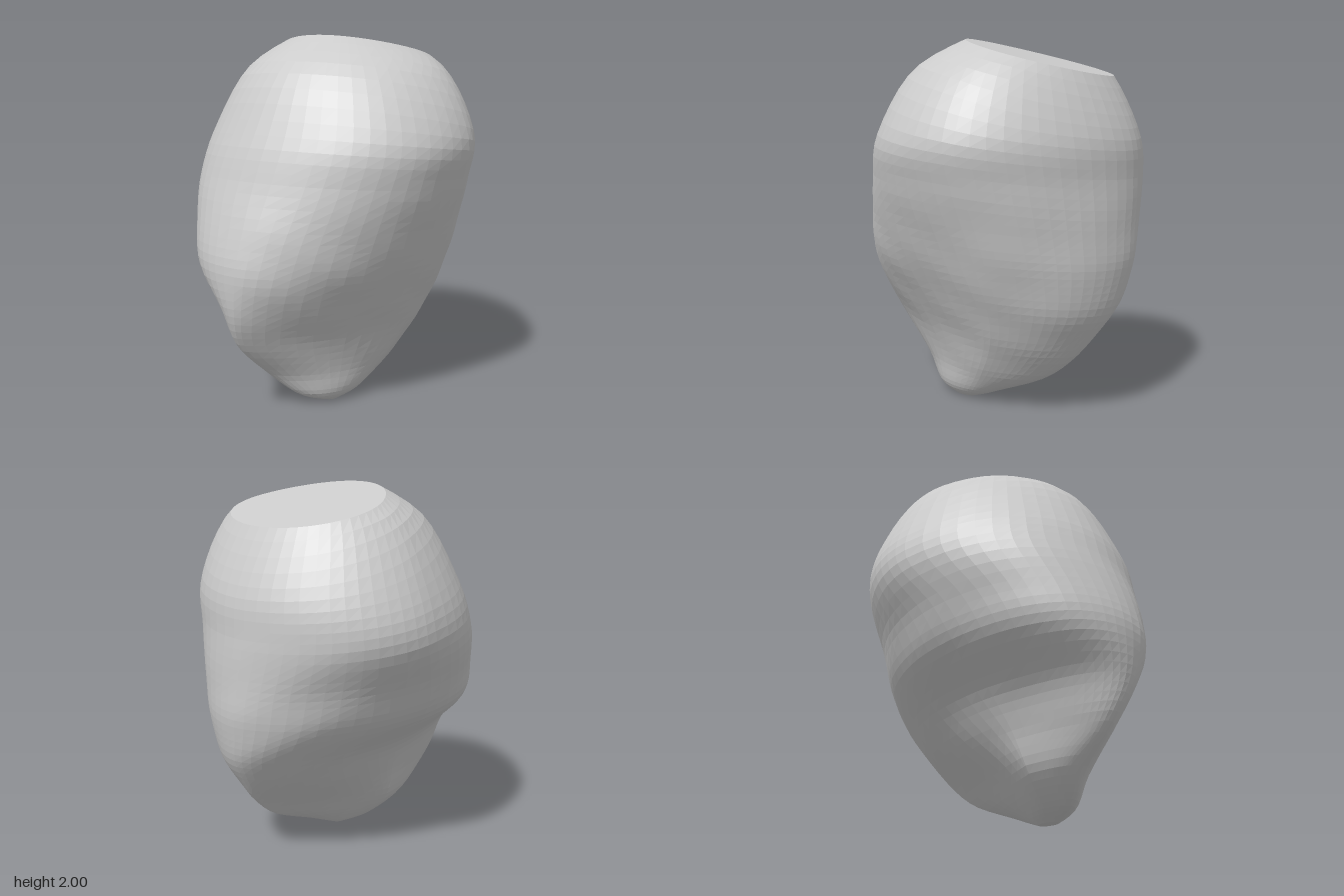
import * as THREE from 'three';

// Horizontal outlines from the tip upward. Each holds the four extreme points
// and, per quadrant, an exponent: 1 = elliptic, 2 = straight, above 2 = hollow.
// y, left x,z, right x,z, front x,z, back x,z, exponents FR, RB, BL, LF
const OUTLINES = [
  [0.0, 0.05, 0.16, 0.12, 0.13, 0.08, 0.21, 0.09, 0.08, 1, 1, 1, 1],
  [0.06, -0.07, 0.2, 0.2, 0.06, 0, 0.35, 0.13, -0.07, 1.1, 1.05, 1.5, 0.9],
  [0.2, -0.21, 0.2, 0.29, -0.04, -0.1, 0.48, 0.15, -0.4, 1.3, 1.1, 1.9, 0.8],
  [0.4, -0.28, 0.15, 0.4, -0.14, -0.16, 0.67, 0.12, -0.6, 1.4, 1.08, 1.35, 0.9],
  [0.6, -0.38, 0.08, 0.495, -0.17, -0.13, 0.77, 0.08, -0.73, 1.3, 1.05, 1.1, 0.9],
  [0.8, -0.59, 0.08, 0.58, -0.15, -0.1, 0.8, 0.03, -0.785, 1.17, 1.08, 1.08, 0.88],
  [1.0, -0.68, 0, 0.65, -0.12, -0.08, 0.77, 0, -0.795, 1.08, 1.1, 1.05, 0.9],
  [1.25, -0.77, -0.18, 0.73, -0.08, -0.06, 0.69, -0.05, -0.79, 0.97, 1.12, 1, 0.92],
  [1.5, -0.72, -0.2, 0.765, -0.06, -0.02, 0.61, -0.06, -0.765, 0.95, 1.12, 1, 0.95],
  [1.83, -0.54, -0.18, 0.575, -0.1, 0, 0.43, -0.08, -0.6, 1, 1.05, 1, 1],
  [2.02, -0.24, -0.15, 0.22, -0.15, 0, 0.11, -0.05, -0.4, 1, 1, 1, 1],
];
const RINGS = 44;
const SIDES = 56;

// Smoothly interpolated outline, t from 0 to 1
function outlineAt(t) {
  const f = t * (OUTLINES.length - 1);
  const i = Math.min(Math.floor(f), OUTLINES.length - 2);
  const u = f - i;
  const row = (k) => OUTLINES[THREE.MathUtils.clamp(k, 0, OUTLINES.length - 1)];
  return row(i).map((b, k) => {
    const a = row(i - 1)[k], c = row(i + 1)[k], d = row(i + 2)[k];
    return b + 0.5 * u * (c - a + u * (2 * a - 5 * b + 4 * c - d + u * (3 * (b - c) + d - a)));
  });
}

// Point at height parameter t and s from 0 to 4: front, right, back, left
function pointAt(t, s) {
  const o = outlineAt(t);
  const [y, lx, lz, rx, rz, fx, fz, bx, bz] = o;
  const q = Math.floor(s);
  const angle = (s - q) * Math.PI / 2;
  const p = o[9 + q];
  const c = Math.cos(angle) ** p, n = Math.sin(angle) ** p;
  let x, z;
  if (q === 0) { x = fx + (rx - fx) * n; z = rz + (fz - rz) * c; }
  else if (q === 1) { x = bx + (rx - bx) * c; z = rz + (bz - rz) * n; }
  else if (q === 2) { x = bx + (lx - bx) * n; z = lz + (bz - lz) * c; }
  else { x = fx + (lx - fx) * c; z = lz + (fz - lz) * n; }
  // Faint unevenness, strongest on the lower half
  const bump = 1 + 0.008 * Math.max(0, 1.4 - y) * Math.sin(9 * x + 13 * y) * Math.cos(11 * z - 7 * y);
  return [x * bump, y, z * bump];
}

// Plane that slices the top, sloping down to the back
const sliceHeight = (z) => 1.962 + 0.267 * z;

// Height parameter where a column of the skin meets the slice
function sliceParameter(s) {
  let low = 0.8, high = 1;
  for (let i = 0; i < 20; i++) {
    const mid = (low + high) / 2;
    const [, y, z] = pointAt(mid, s);
    if (y < sliceHeight(z)) low = mid;
    else high = mid;
  }
  return low;
}

export function createModel() {
  const positions = [];
  const index = [];
  const columns = Array.from({ length: SIDES }, (_, j) => (j / SIDES) * 4);
  const ends = columns.map(sliceParameter);

  // Skin, each column running from the tip to the slice
  for (let r = 0; r <= RINGS; r++) {
    columns.forEach((s, j) => positions.push(...pointAt((r / RINGS) * ends[j], s)));
  }
  for (let r = 0; r < RINGS; r++) {
    for (let j = 0; j < SIDES; j++) {
      const k = (j + 1) % SIDES;
      const a = r * SIDES + j, b = r * SIDES + k;
      index.push(a, b, b + SIDES, a, b + SIDES, a + SIDES);
    }
  }

  // Tip and sliced top closed with fans
  const tip = positions.length / 3;
  positions.push(0.09, 0, 0.15, 0, sliceHeight(-0.15), -0.15);
  for (let j = 0; j < SIDES; j++) {
    const k = (j + 1) % SIDES;
    index.push(tip, k, j, tip + 1, RINGS * SIDES + j, RINGS * SIDES + k);
  }

  const geometry = new THREE.BufferGeometry();
  geometry.setAttribute('position', new THREE.Float32BufferAttribute(positions, 3));
  geometry.setIndex(index);
  geometry.computeVertexNormals();

  const rock = new THREE.Mesh(
    geometry,
    new THREE.MeshStandardMaterial({ color: 0xcccccc, flatShading: true })
  );
  rock.name = 'rock';
  const group = new THREE.Group();
  group.name = 'boulder';
  group.add(rock);
  return group;
}
